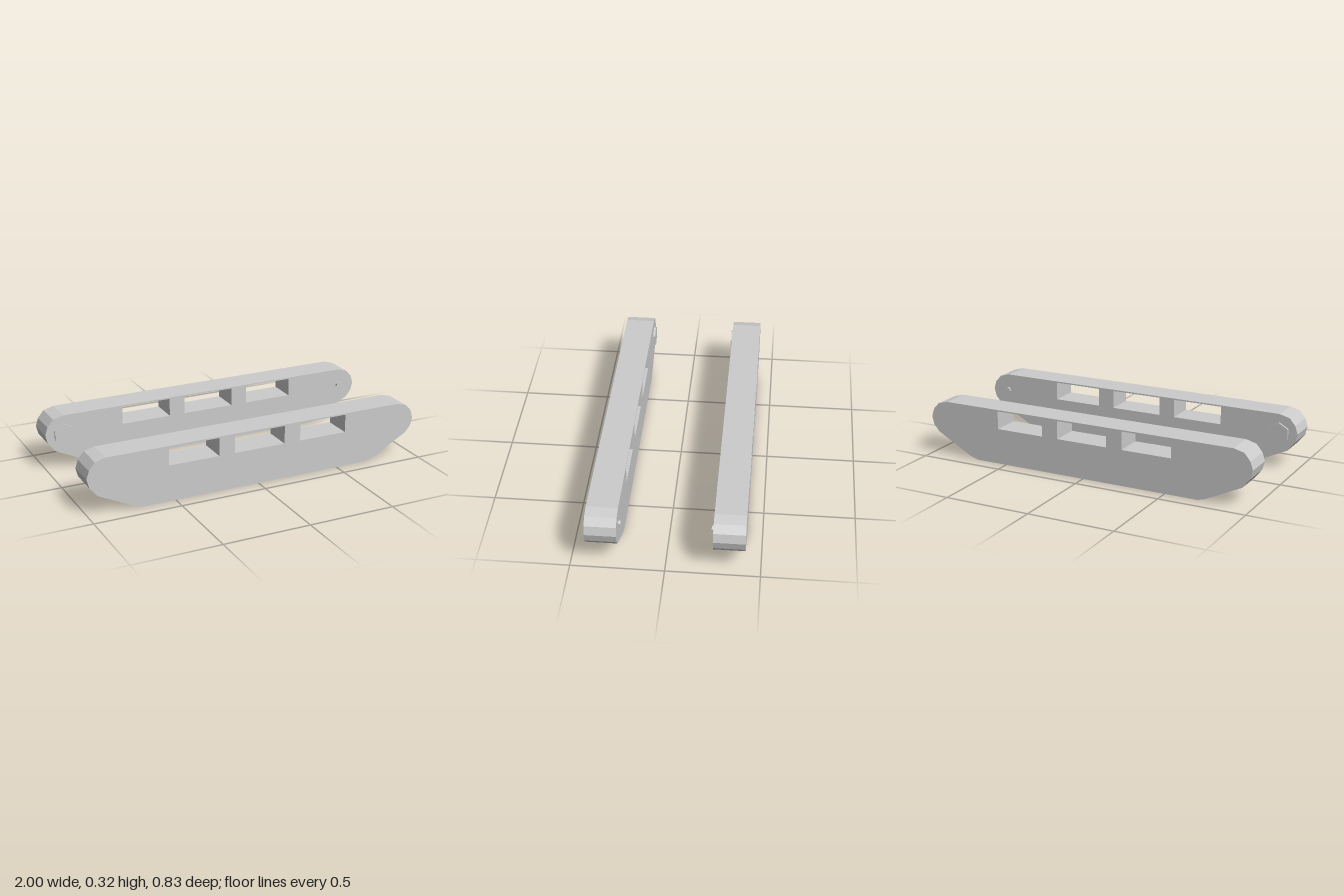
import * as THREE from 'three';

const INNER = 0.249, OUTER = 0.417;
const grey = () => new THREE.MeshStandardMaterial({ color: 0xcccccc, flatShading: true });

// Side outline of one track pod, counter-clockwise from the bottom left
const OUTLINE = [
  [-0.69, 0], [0.69, 0], [0.74, 0.015], [0.955, 0.133], [0.988, 0.172], [1, 0.22],
  [0.985, 0.267], [0.95, 0.304], [0.89, 0.32], [-0.89, 0.32], [-0.95, 0.304],
  [-0.985, 0.262], [-1, 0.215], [-0.988, 0.167], [-0.945, 0.113], [-0.73, 0.009],
];
const WINDOWS = [[-0.535, -0.24], [-0.145, 0.16], [0.258, 0.547]];

// Pod body with three rectangular windows running through it
function trackBody() {
  const shape = new THREE.Shape(OUTLINE.map(([x, y]) => new THREE.Vector2(x, y)));
  for (const [x0, x1] of WINDOWS) {
    shape.holes.push(new THREE.Path([
      new THREE.Vector2(x0, 0.207), new THREE.Vector2(x0, 0.312),
      new THREE.Vector2(x1, 0.312), new THREE.Vector2(x1, 0.207),
    ]));
  }
  return new THREE.ExtrudeGeometry(shape, { depth: OUTER - INNER, bevelEnabled: false });
}

// Hexagonal boss with a corner pointing up, axis along z
function hexBoss(radius) {
  return new THREE.CylinderGeometry(radius, radius, 0.022, 6).rotateX(Math.PI / 2);
}

export function createModel() {
  const model = new THREE.Group();
  model.name = 'trackPair';

  for (const side of [1, -1]) {
    const track = new THREE.Group();
    track.name = side > 0 ? 'frontTrack' : 'backTrack';
    const add = (name, geometry, x, y, z) => {
      const mesh = new THREE.Mesh(geometry, grey());
      mesh.name = name;
      mesh.position.set(x, y, z);
      track.add(mesh);
    };
    add('trackBody', trackBody(), 0, 0, side > 0 ? INNER : -OUTER);
    // Bosses on the inner face
    add('driveBoss', hexBoss(0.063), -0.891, 0.208, side * (INNER - 0.001));
    add('axlePin', hexBoss(0.017), 0.896, 0.223, side * (INNER - 0.001));
    model.add(track);
  }
  return model;
}
